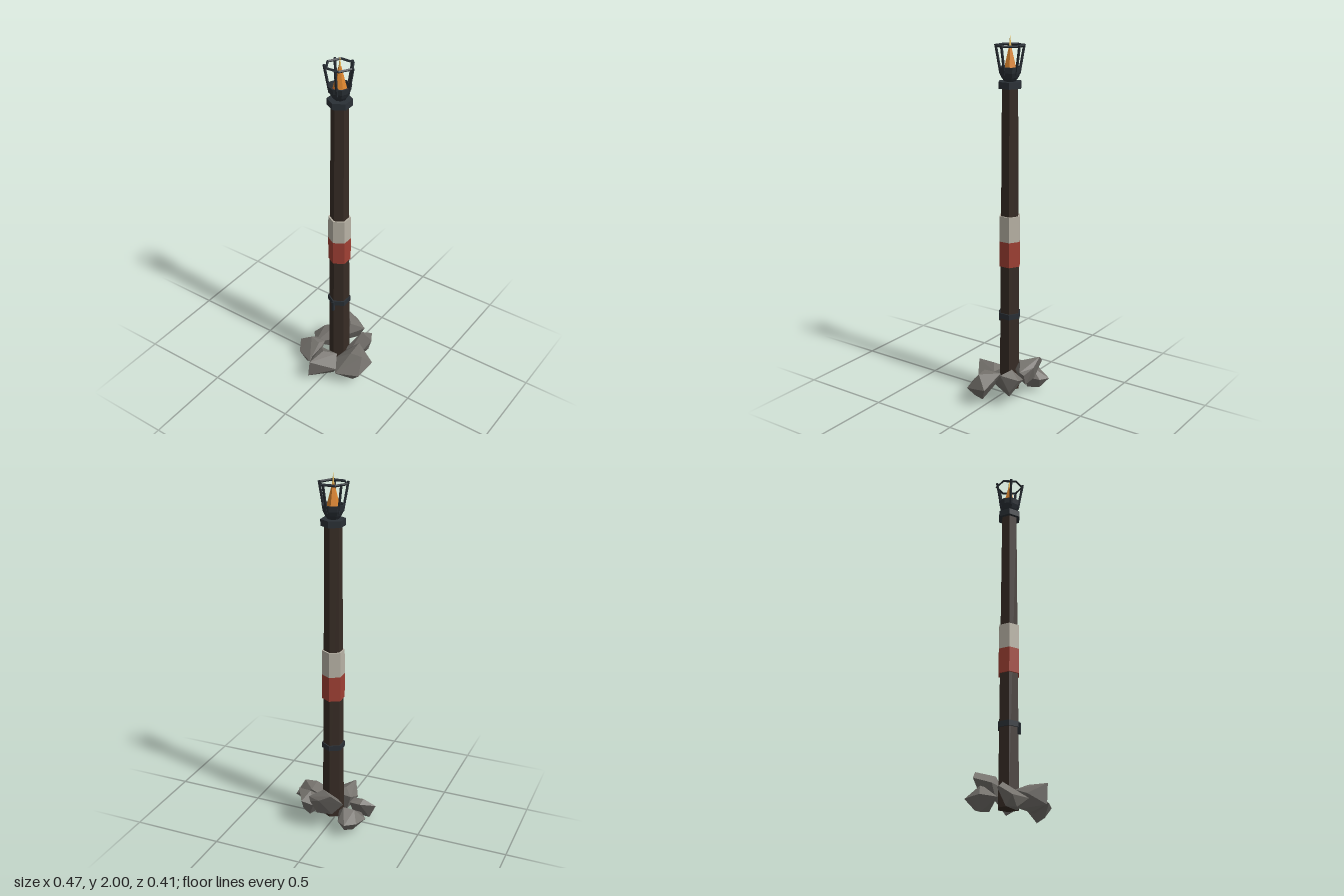
import * as THREE from 'three';
import { ConvexGeometry } from 'three/addons/geometries/ConvexGeometry.js';

const paint = (color) => new THREE.MeshStandardMaterial({ color, flatShading: true, side: THREE.DoubleSide });
const wood = paint(0x372c25), iron = paint(0x2a3036), red = paint(0xa04034), white = paint(0xb8b2a5);
const stone = paint(0x75726d), ember = paint(0xd0522a), flame = paint(0xdc852e), glow = paint(0xf2c460);

function add(parent, name, geometry, material) {
  const mesh = new THREE.Mesh(geometry, material);
  mesh.name = name;
  parent.add(mesh);
  return mesh;
}

// Six-sided tapered section between two heights
function section(parent, name, y0, y1, r0, r1, material, open = false) {
  const mesh = add(parent, name, new THREE.CylinderGeometry(r1, r0, y1 - y0, 6, 1, open), material);
  mesh.position.y = (y0 + y1) / 2;
  return mesh;
}

// Square bar between two points
function bar(parent, name, a, b, size, material) {
  const mesh = add(parent, name, new THREE.BoxGeometry(size, a.distanceTo(b), size), material);
  mesh.position.copy(a).add(b).multiplyScalar(0.5);
  mesh.quaternion.setFromUnitVectors(new THREE.Vector3(0, 1, 0), b.clone().sub(a).normalize());
  return mesh;
}

// Corner points of each boulder
const rocks = {
  backLeftRock: [[-.14, .09, -.21], [-.19, .08, -.155], [-.217, .08, -.08], [-.163, .07, -.01], [-.06, .1, -.09],
    [-.09, .09, -.18], [-.16, .14, -.11], [-.1, .15, -.12], [-.15, .01, -.11], [-.1, .02, -.09], [-.12, .03, -.16]],
  backRock: [[-.12, .2, -.175], [-.056, .25, -.2], [.013, .21, -.205], [.075, .18, -.182], [.09, .2, -.165],
    [.015, .17, -.085], [-.06, .18, -.1], [.02, .235, -.12], [-.05, .12, -.17], [.04, .11, -.17], [0, .11, -.11]],
  backRightRock: [[.128, .17, -.184], [.181, .2, -.1], [.156, .15, -.06], [.076, .09, .03], [.045, .12, -.045],
    [.063, .15, -.17], [.1, .21, -.12], [.11, .05, -.11], [.08, .06, -.05], [.14, .09, -.13]],
  rightRock: [[.12, .18, -.06], [.233, .11, -.03], [.222, .09, .095], [.092, .08, .143], [.035, .11, .07],
    [.055, .12, -.02], [.2, .18, .03], [.13, .18, .04], [.14, 0, .05], [.17, .03, .08], [.07, .04, .05]],
  frontRock: [[-.057, .03, .205], [-.045, .14, .205], [.085, .09, .12], [.035, .13, .045], [-.078, .12, .04],
    [-.092, .09, .115], [-.03, .15, .09], [-.03, .01, .1], [.04, .02, .09], [-.05, .03, .05]],
  leftRock: [[-.233, .1, .036], [-.157, .12, -.016], [-.092, .12, -.014], [-.083, .1, .06], [-.1, .06, .13],
    [-.2, .06, .093], [-.165, .14, .02], [-.105, .13, .03], [-.19, .01, .05], [-.09, .01, .06], [-.15, .01, .09]],
};

export function createModel() {
  const model = new THREE.Group();
  model.name = 'torchPost';

  // Ring of boulders
  for (const [name, points] of Object.entries(rocks)) {
    add(model, name, new ConvexGeometry(points.map((p) => new THREE.Vector3(...p))), stone);
  }

  // Post with painted bands and iron collars
  const torch = new THREE.Group();
  torch.name = 'torch';
  torch.position.set(-0.003, 0, -0.035);
  model.add(torch);
  section(torch, 'post', 0.05, 1.76, 0.06, 0.046, wood);
  section(torch, 'redBand', 0.77, 0.91, 0.062, 0.062, red);
  section(torch, 'whiteBand', 0.91, 1.05, 0.062, 0.061, white);
  section(torch, 'lowerCollar', 0.47, 0.5, 0.064, 0.064, iron);
  section(torch, 'topCollar', 1.73, 1.765, 0.066, 0.066, iron);
  const peg = add(torch, 'collarPeg', new THREE.BoxGeometry(0.014, 0.06, 0.012), iron);
  peg.position.set(0, 0.463, 0.062);

  // Fire bowl
  const profile = [[0, 1.76], [0.03, 1.765], [0.045, 1.785], [0.057, 1.81], [0.062, 1.84], [0.053, 1.84], [0.045, 1.81], [0, 1.8]];
  add(torch, 'bowl', new THREE.LatheGeometry(profile.map((p) => new THREE.Vector2(...p)), 8), iron);

  // Cage of five leaning bars under a hexagonal hoop
  for (let i = 0; i < 5; i++) {
    const a = (i * Math.PI * 2) / 5;
    const at = (r, y) => new THREE.Vector3(r * Math.cos(a), y, r * Math.sin(a));
    bar(torch, 'cageBar', at(0.05, 1.8), at(0.078, 1.952), 0.01, iron);
  }
  const hoop = add(torch, 'cageHoop', new THREE.TorusGeometry(0.073, 0.007, 4, 6), iron);
  hoop.rotation.x = Math.PI / 2;
  hoop.position.y = 1.947;

  // Nested flames
  section(torch, 'outerFlame', 1.805, 1.89, 0.044, 0, ember).rotation.y = 0.3;
  section(torch, 'flame', 1.82, 1.97, 0.037, 0, flame);
  section(torch, 'flameTip', 1.88, 2.0, 0.014, 0, glow).rotation.y = 0.5;

  return model;
}
